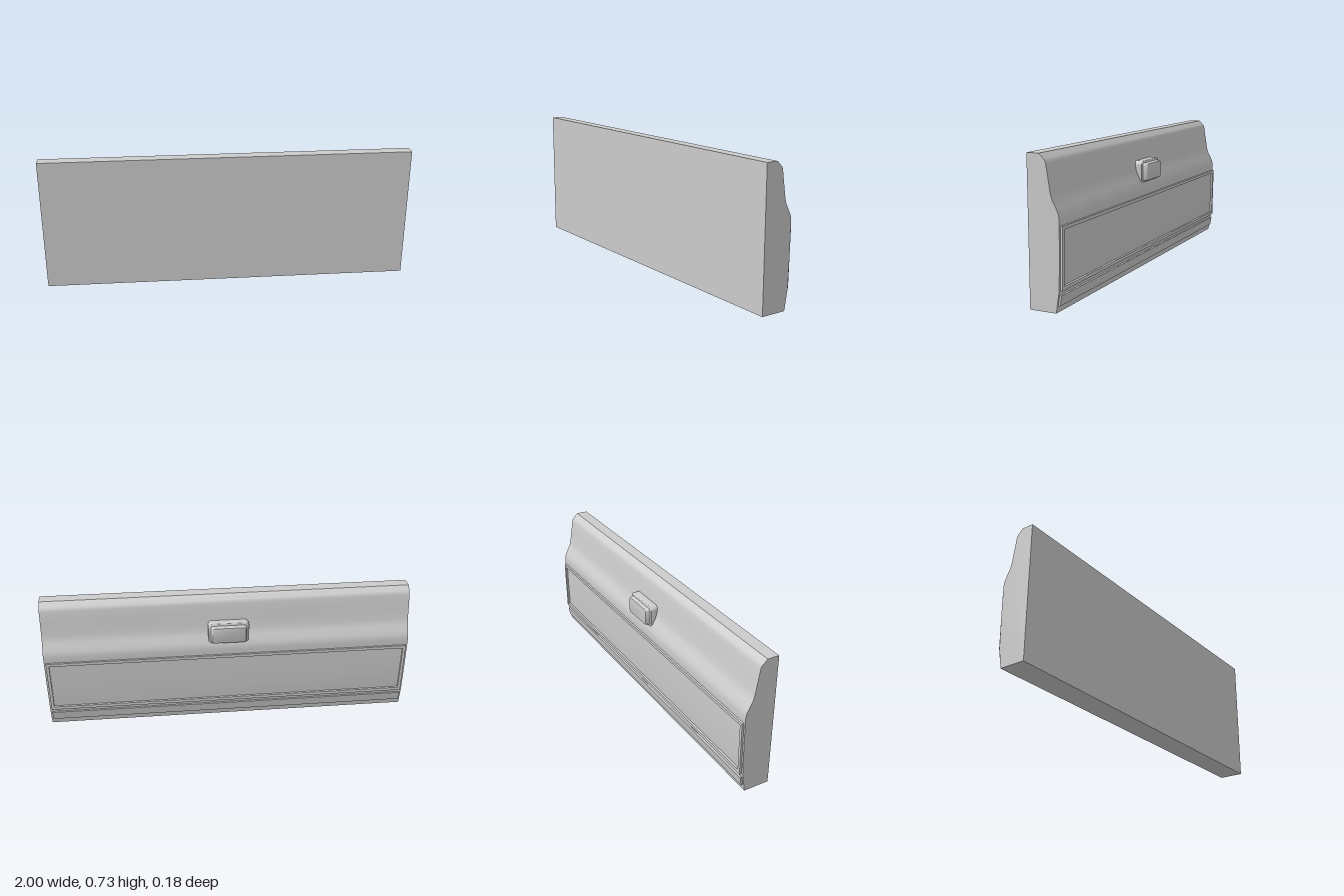
import * as THREE from 'three';
import { toCreasedNormals } from 'three/addons/utils/BufferGeometryUtils.js';

const material = new THREE.MeshStandardMaterial({ color: 0xcccccc });

function part(name, geometry, crease = 0.5) {
  const mesh = new THREE.Mesh(toCreasedNormals(geometry, crease), material);
  mesh.name = name;
  return mesh;
}

// Extrudes a (z, y) profile along x, centred on x = 0
function alongX(points, length) {
  const shape = new THREE.Shape(points.map(([z, y]) => new THREE.Vector2(z, y)));
  const g = new THREE.ExtrudeGeometry(shape, { depth: length, bevelEnabled: false });
  return g.translate(0, 0, -length / 2).rotateY(-Math.PI / 2);
}

function roundedRect(w, h, r) {
  const s = new THREE.Shape();
  const x = w / 2 - r, y = h / 2 - r;
  s.absarc(x, y, r, 0, Math.PI / 2);
  s.absarc(-x, y, r, Math.PI / 2, Math.PI);
  s.absarc(-x, -y, r, Math.PI, Math.PI * 1.5);
  s.absarc(x, -y, r, Math.PI * 1.5, Math.PI * 2);
  return s;
}

// Rounded block whose outer face points to -z, from z0 (inner) to z1 (outer)
function block(w, h, r, z0, z1, bevel, segments, taper = 1) {
  const depth = z0 - z1;
  const g = new THREE.ExtrudeGeometry(roundedRect(w - 2 * bevel, h - 2 * bevel, r), {
    depth: depth - 2 * bevel, bevelThickness: bevel, bevelSize: bevel,
    bevelSegments: segments, curveSegments: 6,
  }).translate(0, 0, bevel);
  const p = g.attributes.position;
  for (let i = 0; i < p.count; i++) {
    const k = 1 - (1 - taper) * (p.getZ(i) / depth);
    p.setXY(i, p.getX(i) * k, p.getY(i) * k);
  }
  return g.rotateY(Math.PI).translate(0, 0, z0);
}

export function createModel() {
  const group = new THREE.Group();

  // Main panel: flat front, contoured back
  const contour = [
    [0.004, 0.703], [-0.004, 0.694], [-0.008, 0.68], [-0.015, 0.635], [-0.022, 0.59], [-0.029, 0.548],
    [-0.034, 0.528], [-0.042, 0.51], [-0.055, 0.486], [-0.064, 0.467], [-0.069, 0.452],
    [-0.071, 0.435], [-0.071, 0.41],
  ];
  group.add(part('gateBody', alongX([
    [0.09, 0], [0.09, 0.725], [0.027, 0.725], ...contour,
    [-0.07, 0.28], [-0.065, 0.105], [-0.048, 0],
  ], 2)));

  // Raised trim frame, sheared to follow the slope of the body
  const rect = (C, x, y0, y1) => new C([[-x, y0], [x, y0], [x, y1], [-x, y1]]
    .map(([a, b]) => new THREE.Vector2(a, b)));
  const outline = rect(THREE.Shape, 0.99, 0.105, 0.403);
  outline.holes.push(rect(THREE.Path, 0.974, 0.123, 0.386));
  const frame = new THREE.ExtrudeGeometry(outline, { depth: 0.022, bevelEnabled: false });
  const p = frame.attributes.position;
  for (let i = 0; i < p.count; i++) p.setZ(i, p.getZ(i) - 0.082 + (0.403 - p.getY(i)) * 0.016);
  group.add(part('trimFrame', frame));

  // Lower moulding
  group.add(part('lowerMoulding', alongX([
    [-0.055, 0.083], [-0.072, 0.083], [-0.063, 0.033], [-0.048, 0.033],
  ], 1.98)));

  // Latch handle: rounded bezel with a tapered paddle
  const handle = new THREE.Group();
  handle.name = 'latchHandle';
  const bezel = part('handleBezel', block(0.222, 0.12, 0.014, -0.015, -0.064, 0.008, 4), 0.7);
  bezel.position.y = 0.529;
  const paddle = part('handlePaddle', block(0.2, 0.1, 0.01, -0.055, -0.088, 0.004, 2, 0.9), 0.6);
  paddle.position.y = 0.527;
  handle.add(bezel, paddle);
  group.add(handle);

  return group;
}
